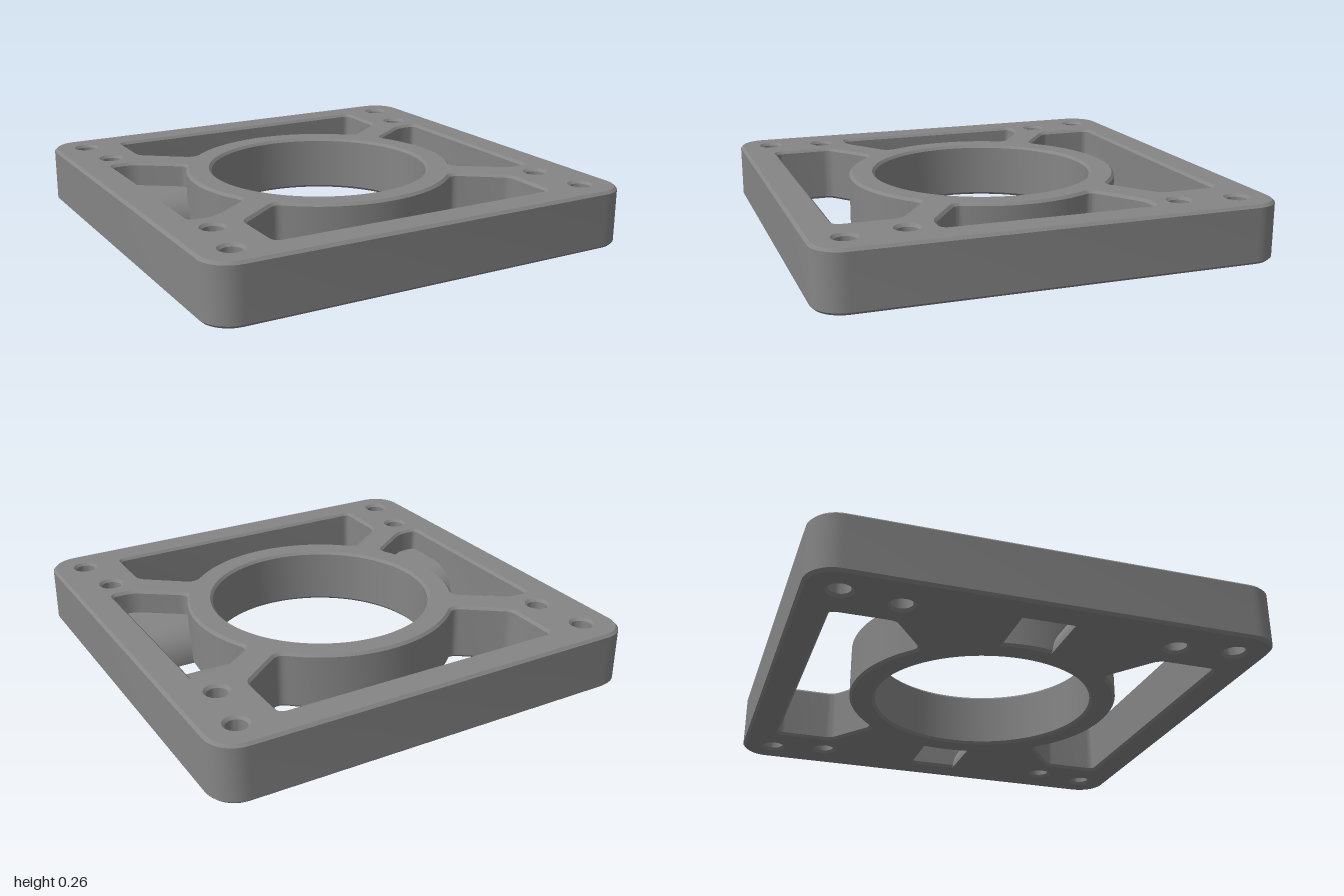
import * as THREE from 'three';
import { toCreasedNormals } from 'three/addons/utils/BufferGeometryUtils.js';

const HEIGHT = 0.26, BEVEL = 0.012;
const RING_OUTER = 0.62, RING_INNER = 0.502;
const material = new THREE.MeshStandardMaterial({ color: 0x858585 });

const P = (x, y, r = 0) => ({ x, y, r });

// Points on an arc round (cx, cy), ends included
function arc(cx, cy, radius, from, to, n) {
  return Array.from({ length: n + 1 }, (_, i) => {
    const a = from + ((to - from) * i) / n;
    return P(cx + radius * Math.cos(a), cy + radius * Math.sin(a));
  });
}

// Closed outline; a point with r is cut back by r and rounded
function outline(points, steps = 6) {
  const out = [];
  points.forEach((p, i) => {
    const v = new THREE.Vector2(p.x, p.y);
    if (!p.r) { out.push(v); return; }
    const n = points.length;
    const cut = (q) => new THREE.Vector2(q.x, q.y).sub(v).setLength(p.r).add(v);
    const curve = new THREE.QuadraticBezierCurve(
      cut(points[(i + n - 1) % n]), v, cut(points[(i + 1) % n]));
    out.push(...curve.getPoints(steps));
  });
  return out;
}

const circle = (x, y, r, n) => outline(arc(x, y, r, 0, Math.PI * 2, n).slice(0, n));

// Square frame, spokes and ring in one plate with chamfered edges
function plateGeometry() {
  const c = 0.87, q = Math.PI / 2;
  const corners = [[c, c], [-c, c], [-c, -c], [c, -c]];
  const shape = new THREE.Shape(outline(
    corners.flatMap(([x, y], i) => arc(x, y, 0.13, i * q, (i + 1) * q, 10))));

  // Bearing bore
  shape.holes.push(new THREE.Path(circle(0, 0, RING_INNER, 96)));

  // Windows in front of and behind the ring
  const wa = Math.atan2(0.425, 0.455);
  const windowPoints = outline([
    P(0.668, 0.853, 0.03), P(-0.668, 0.853, 0.03), P(-0.668, 0.588, 0.03), P(-0.455, 0.428, 0.035),
    ...arc(0, 0, RING_OUTER, Math.PI - wa - 0.07, wa + 0.07, 28),
    P(0.455, 0.428, 0.035), P(0.668, 0.588, 0.03),
  ]);
  // Pockets to the left and right of the ring
  const pa = Math.atan2(0.315, 0.538);
  const pocketPoints = outline([
    P(0.853, -0.465, 0.025), P(0.853, 0.465, 0.025), P(0.755, 0.465, 0.04), P(0.538, 0.312, 0.035),
    ...arc(0, 0, RING_OUTER, pa - 0.07, -pa + 0.07, 24),
    P(0.538, -0.312, 0.035), P(0.755, -0.465, 0.04),
  ]);
  for (const s of [1, -1]) {
    shape.holes.push(new THREE.Path(windowPoints.map((p) => new THREE.Vector2(p.x, p.y * s))));
    shape.holes.push(new THREE.Path(pocketPoints.map((p) => new THREE.Vector2(p.x * s, p.y))));
  }

  // Screw holes, chamfered by the bevel
  for (const [x, y] of [[0.85, 0.85], [0.81, 0.595]])
    for (const sx of [1, -1])
      for (const sy of [1, -1])
        shape.holes.push(new THREE.Path(circle(sx * x, sy * y, 0.045, 28)));

  const geometry = new THREE.ExtrudeGeometry(shape, {
    depth: HEIGHT - 2 * BEVEL, bevelEnabled: true, bevelThickness: BEVEL,
    bevelSize: BEVEL, bevelOffset: -BEVEL, bevelSegments: 1,
  });
  geometry.translate(0, 0, BEVEL).rotateX(-Math.PI / 2);
  return toCreasedNormals(geometry, 0.5);
}

// Pocket floor that rolls over into the slot, for the +x front quarter
function floorGeometry() {
  const slot = 0.115, r = 0.15, knee = 0.36, end = 0.482, xIn = 0.525, xOut = 0.88;
  const profile = outline([
    P(slot, 0), P(knee, 0), P(end, 0), P(end, r), P(knee, r),
    ...arc(slot + r, 0, r, Math.PI / 2, Math.PI, 16).slice(0, 16),
  ]);
  const geometry = new THREE.ExtrudeGeometry(new THREE.Shape(profile), {
    depth: xOut - xIn, bevelEnabled: false,
  });
  // Profile x runs along z, extrusion along x
  geometry.rotateY(-Math.PI / 2).translate(xOut, 0, 0);
  // Keep the inner end buried in the spoke
  const pos = geometry.attributes.position;
  for (let i = 0; i < pos.count; i++)
    if (pos.getX(i) < 0.7 && pos.getZ(i) > knee + 0.01) pos.setX(i, 0.68);
  return toCreasedNormals(geometry, 0.5);
}

export function createModel() {
  const model = new THREE.Group();
  model.name = 'mountingPlate';

  const plate = new THREE.Mesh(plateGeometry(), material);
  plate.name = 'framePlate';
  model.add(plate);

  const floors = new THREE.Group();
  floors.name = 'pocketFloors';
  const floor = floorGeometry();
  for (const sx of [1, -1])
    for (const sz of [1, -1]) {
      const mesh = new THREE.Mesh(floor, material);
      mesh.name = (sx > 0 ? 'left' : 'right') + (sz > 0 ? 'Front' : 'Back') + 'PocketFloor';
      mesh.scale.set(sx, 1, sz);
      floors.add(mesh);
    }
  model.add(floors);
  return model;
}
